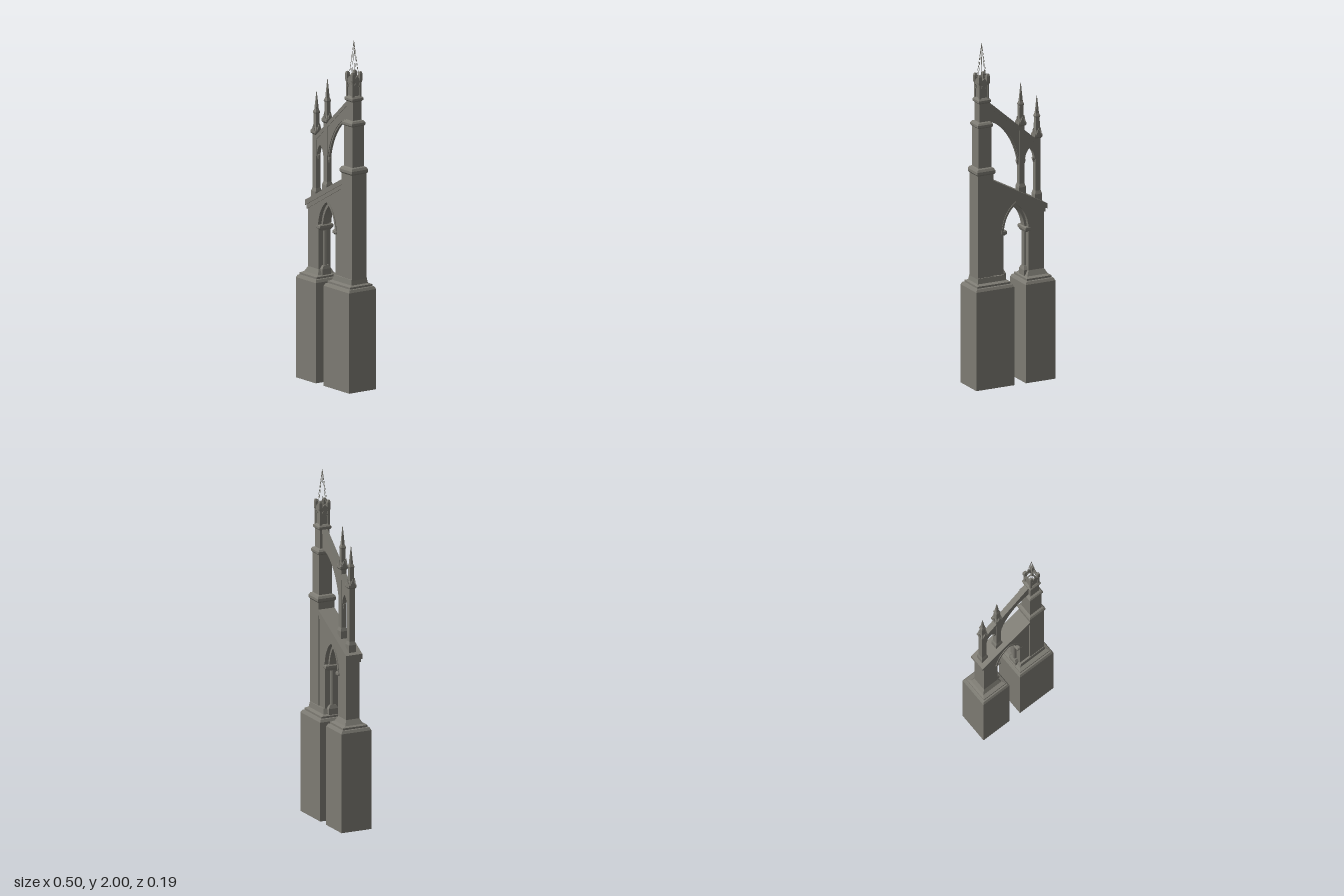
import * as THREE from 'three';

const stone = new THREE.MeshStandardMaterial({ color: 0x7d7b73 });
stone.name = 'stone';

function add(parent, name, geometry) {
  const g = geometry.index ? geometry.toNonIndexed() : geometry;
  g.computeVertexNormals();
  const mesh = new THREE.Mesh(g, stone);
  mesh.name = name;
  parent.add(mesh);
  return mesh;
}

// Skin over stacked rectangles, each [x0, x1, half depth, y]
function loft(rings, capBottom = false, capTop = false) {
  const pos = [], idx = [];
  for (const [x0, x1, h, y] of rings) pos.push(x0, y, h, x1, y, h, x1, y, -h, x0, y, -h);
  for (let i = 0; i < rings.length - 1; i++) {
    for (let j = 0; j < 4; j++) {
      const a = i * 4 + j, b = i * 4 + (j + 1) % 4;
      idx.push(a, b, b + 4, a, b + 4, a + 4);
    }
  }
  const t = (rings.length - 1) * 4;
  if (capBottom) idx.push(0, 2, 1, 0, 3, 2);
  if (capTop) idx.push(t, t + 1, t + 2, t, t + 2, t + 3);
  const g = new THREE.BufferGeometry();
  g.setAttribute('position', new THREE.Float32BufferAttribute(pos, 3));
  g.setIndex(idx);
  return g;
}

// Square profile centred on cx: pairs of [half width, y]
const square = (cx, profile, ...caps) =>
  loft(profile.map(([r, y]) => [cx - r, cx + r, r, y]), ...caps);

// Flat outline extruded evenly either side of z = 0
function slab(points, half) {
  const shape = new THREE.Shape(points.map(p => (p.isVector2 ? p : new THREE.Vector2(...p))));
  const g = new THREE.ExtrudeGeometry(shape, { depth: half * 2, bevelEnabled: false });
  return g.translate(0, 0, -half);
}

// Pointed arch from left springing over the apex to right springing
function arch(cx, hw, y, h) {
  const v = (a, b) => new THREE.Vector2(a, b);
  const left = new THREE.QuadraticBezierCurve(v(cx - hw, y), v(cx - hw * 0.9, y + h * 0.7), v(cx, y + h)).getPoints(10);
  const right = left.slice(0, -1).reverse().map(p => v(2 * cx - p.x, p.y));
  return [...left, ...right];
}
const archBand = (cx, y, hwOut, hOut, hwIn, hIn, half) =>
  slab([...arch(cx, hwOut, y, hOut), ...arch(cx, hwIn, y, hIn).reverse()], half);

// Small square pinnacle post standing on the sloping coping
function pinnacle(parent, x, foot, gable, tip) {
  const g = new THREE.Group();
  g.name = 'pinnacle';
  add(g, 'pinnacleShaft', square(x, [
    [0.022, foot - 0.03], [0.022, foot + 0.02], [0.016, foot + 0.04], [0.016, gable - 0.01],
    [0.024, gable], [0.024, gable + 0.012], [0.013, gable + 0.035], [0.012, gable + 0.11],
    [0.015, gable + 0.118], [0.009, gable + 0.135], [0.001, tip],
  ], true, true));
  // Gablets on the four sides
  for (let i = 0; i < 4; i++) {
    const m = add(g, 'gablet', slab([[-0.02, 0], [0.02, 0], [0, 0.048]], 0.003).translate(0, 0, 0.021));
    m.position.set(x, gable, 0);
    m.rotation.y = i * Math.PI / 2;
  }
  parent.add(g);
}

export function createModel() {
  const model = new THREE.Group();
  model.name = 'flyingButtress';

  // Pier bases with moulded plinths
  add(model, 'outerBase', loft([
    [-0.25, -0.063, 0.094, 0], [-0.25, -0.063, 0.094, 0.575], [-0.242, -0.071, 0.086, 0.59],
    [-0.235, -0.078, 0.078, 0.592], [-0.235, -0.078, 0.078, 0.603], [-0.222, -0.092, 0.056, 0.61],
    [-0.205, -0.108, 0.042, 0.64],
  ], true, true));
  add(model, 'innerBase', loft([
    [0.01, 0.25, 0.094, 0], [0.01, 0.25, 0.094, 0.575], [0.018, 0.242, 0.086, 0.59],
    [0.025, 0.235, 0.078, 0.592], [0.025, 0.235, 0.078, 0.603], [0.04, 0.222, 0.057, 0.61],
    [0.052, 0.216, 0.053, 0.64], [0.116, 0.216, 0.05, 0.641],
  ], true));

  // Lower wall with its pointed opening
  const cx = -0.028, spring = 0.88;
  add(model, 'lowerWall', slab([
    [-0.205, 0.62], [-0.108, 0.62], ...arch(cx, 0.08, spring, 0.16),
    [0.052, 0.62], [0.125, 0.62], [0.125, 1.175], [-0.205, 0.995],
  ], 0.042));
  add(model, 'innerArchRing', archBand(cx, spring, 0.084, 0.165, 0.066, 0.14, 0.022));
  add(model, 'hoodMould', archBand(cx, spring, 0.092, 0.175, 0.08, 0.16, 0.046));

  // Jamb columns carrying the arch
  for (const s of [-1, 1]) {
    const x = cx + s * 0.076;
    add(model, 'jambColumn', new THREE.CylinderGeometry(0.013, 0.013, 0.25, 8).translate(x, 0.755, 0));
    add(model, 'jambBase', loft([
      [x - 0.018, x + 0.018, 0.03, 0.605], [x - 0.018, x + 0.018, 0.03, 0.64], [x - 0.012, x + 0.012, 0.018, 0.66],
    ], true, true));
    add(model, 'jambCapital', loft([
      [x - 0.012, x + 0.012, 0.03, 0.862], [x - 0.018, x + 0.018, 0.047, 0.877],
      [x - 0.018, x + 0.018, 0.047, 0.89], [x - 0.012, x + 0.012, 0.042, 0.896],
    ], true, true));
  }

  // Sloping coping over the wall
  add(model, 'copingMould', slab([[-0.213, 0.968], [0.118, 1.147], [0.118, 1.18], [-0.213, 1.0]], 0.046));
  add(model, 'coping', slab([[-0.222, 0.988], [0.118, 1.17], [0.118, 1.2], [-0.222, 1.018]], 0.051));

  // Tower in receding stages, hollow and open at the crown
  const tx = 0.167;
  add(model, 'tower', square(tx, [
    [0.05, 0.605], [0.05, 1.238], [0.057, 1.247], [0.057, 1.262], [0.05, 1.275], [0.04, 1.28],
    [0.04, 1.512], [0.047, 1.519], [0.047, 1.532], [0.04, 1.542], [0.03, 1.546],
    [0.03, 1.652], [0.038, 1.66], [0.038, 1.672], [0.03, 1.682], [0.026, 1.685],
    [0.026, 1.755], [0.031, 1.775],
  ]));

  // Crown: corner buttresses, points and gablets
  const crown = new THREE.Group();
  crown.name = 'crown';
  crown.position.x = tx;
  for (let i = 0; i < 4; i++) {
    const a = i * Math.PI / 2;
    const side = new THREE.Group();
    side.name = 'crownSide';
    side.rotation.y = a;
    add(side, 'cornerButtress', square(0, [
      [0.006, 1.68], [0.006, 1.762], [0.0095, 1.775], [0.0095, 1.81], [0.006, 1.822],
    ], true, true).translate(0.0255, 0, 0.0255));
    add(side, 'crownGablet', slab([[-0.022, 1.76], [0.022, 1.76], [0.014, 1.785], [0, 1.80], [-0.014, 1.785]], 0.003).translate(0, 0, 0.029));
    add(side, 'panelArch', archBand(0, 1.735, 0.02, 0.03, 0.013, 0.022, 0.003).translate(0, 0, 0.027));
    crown.add(side);
  }
  // Openwork spire of eight fine ribs
  const apex = new THREE.Vector3(0, 2, 0);
  for (let i = 0; i < 8; i++) {
    const a = (i + 0.5) * Math.PI / 4;
    const foot = new THREE.Vector3(Math.cos(a) * 0.03, 1.785, Math.sin(a) * 0.03);
    add(crown, 'spireRib', new THREE.TubeGeometry(new THREE.LineCurve3(foot, apex), 1, 0.0009, 4));
  }
  model.add(crown);

  // Upper flyer: raking top, small pointed arch and long quarter arch
  const sweep = new THREE.CubicBezierCurve(
    new THREE.Vector2(-0.064, 1.275), new THREE.Vector2(-0.04, 1.42),
    new THREE.Vector2(0.04, 1.53), new THREE.Vector2(0.14, 1.548)).getPoints(16);
  add(model, 'upperFlyer', slab([
    [-0.17, 1.275], ...arch(-0.131, 0.031, 1.275, 0.07), [-0.09, 1.275],
    ...sweep, [0.14, 1.655], [-0.17, 1.37],
  ], 0.013));
  add(model, 'flyerCoping', slab([[-0.17, 1.365], [0.14, 1.635], [0.14, 1.662], [-0.17, 1.392]], 0.016));
  const inner = sweep.map(p => new THREE.Vector2(p.x + 0.004, p.y - 0.008));
  add(model, 'flyerArchMould', slab([...sweep, ...inner.reverse()], 0.008));

  // Corbels under the flyer arches
  for (const x of [-0.162, -0.1, -0.06]) {
    add(model, 'corbel', square(x, [[0.003, 1.255], [0.008, 1.275], [0.008, 1.284]], true, true));
  }

  pinnacle(model, -0.182, 1.05, 1.405, 1.64);
  pinnacle(model, -0.08, 1.105, 1.49, 1.73);
  return model;
}
